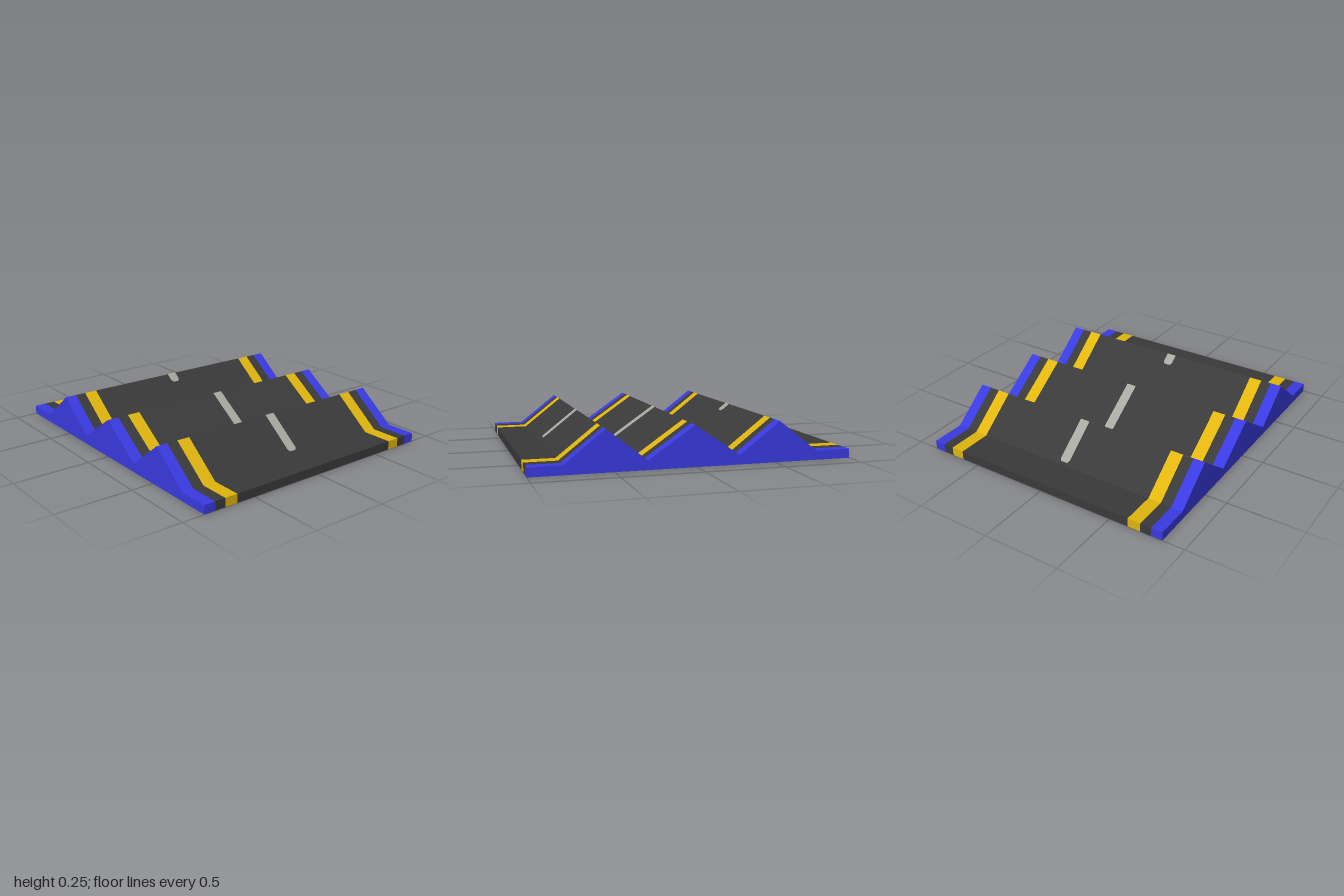
import * as THREE from 'three';

const mat = (name, color, side = THREE.FrontSide) => {
  const m = new THREE.MeshStandardMaterial({ color, side });
  m.name = name;
  return m;
};

// Road height along its length, as [z, y] from front to back
const PROFILE = [
  [1, 0.057], [0.8, 0.057], [0.55, 0.252], [0.3, 0.057], [0.015, 0.252],
  [-0.27, 0.057], [-0.525, 0.252], [-0.775, 0.057], [-1, 0.057],
];
const OUTLINE = [[1, 0], ...PROFILE, [-1, 0]];

function heightAt(z) {
  for (let i = 1; i < PROFILE.length; i++) {
    const [za, ya] = PROFILE[i - 1], [zb, yb] = PROFILE[i];
    if (z >= zb) return ya + (yb - ya) * (za - z) / (za - zb);
  }
  return PROFILE.at(-1)[1];
}

// Flat-shaded ribbon through rows of { z, y, x0, x1 }
function ribbon(rows) {
  const pos = [];
  for (let i = 1; i < rows.length; i++) {
    const p = rows[i - 1], q = rows[i];
    const a = [p.x0, p.y, p.z], b = [p.x1, p.y, p.z];
    const c = [q.x1, q.y, q.z], d = [q.x0, q.y, q.z];
    pos.push(...a, ...b, ...c, ...a, ...c, ...d);
  }
  const g = new THREE.BufferGeometry();
  g.setAttribute('position', new THREE.Float32BufferAttribute(pos, 3));
  g.computeVertexNormals();
  return g;
}

const strip = (points, x0, x1) => ribbon(points.map(([z, y]) => ({ z, y, x0, x1 })));

// Painted dash that follows the road, with clipped corners
function dash(front, back) {
  const clip = 0.015, wide = 0.033, narrow = 0.022, lift = 0.003;
  const peaks = PROFILE.map(p => p[0]).filter(z => z < front - clip && z > back + clip);
  return ribbon([front, front - clip, ...peaks, back + clip, back].map(z => {
    const w = z === front || z === back ? narrow : wide;
    return { z, y: heightAt(z) + lift, x0: -w, x1: w };
  }));
}

export function createModel() {
  const group = new THREE.Group();
  const blue = mat('blue', 0x3a3ae2);
  const asphalt = mat('asphalt', 0x3a3a3a);
  const yellow = mat('yellow', 0xe0b50e);
  const grey = mat('paleGrey', 0xa8a8a0, THREE.DoubleSide);
  const add = (name, geometry, material) => {
    const mesh = new THREE.Mesh(geometry, material);
    mesh.name = name;
    group.add(mesh);
  };

  // Road surface, wrapping over the front and back ends
  const W = 0.855;
  add('roadCentre', strip(OUTLINE, -0.625, 0.625), asphalt);
  for (const [side, s] of [['left', 1], ['right', -1]]) {
    const band = (a, b) => strip(OUTLINE, Math.min(a * s, b * s), Math.max(a * s, b * s));
    add(side + 'YellowLine', band(0.625, 0.71), yellow);
    add(side + 'Shoulder', band(0.71, 0.78), asphalt);
    add(side + 'BlueEdge', band(0.78, W), blue);

    // Zigzag side wall
    const shape = new THREE.Shape(OUTLINE.map(([z, y]) => new THREE.Vector2(-s * z, y)));
    const wall = new THREE.ShapeGeometry(shape);
    wall.rotateY(s * Math.PI / 2).translate(s * W, 0, 0);
    add(side + 'Wall', wall, blue);
  }

  // Underside
  add('underside', strip([[-1, 0], [1, 0]], -W, W), blue);

  // Centre line dashes
  add('frontDash', dash(0.775, 0.485), grey);
  add('middleDash', dash(0.295, -0.28), grey);
  add('backDash', dash(-0.465, -0.76), grey);

  return group;
}
